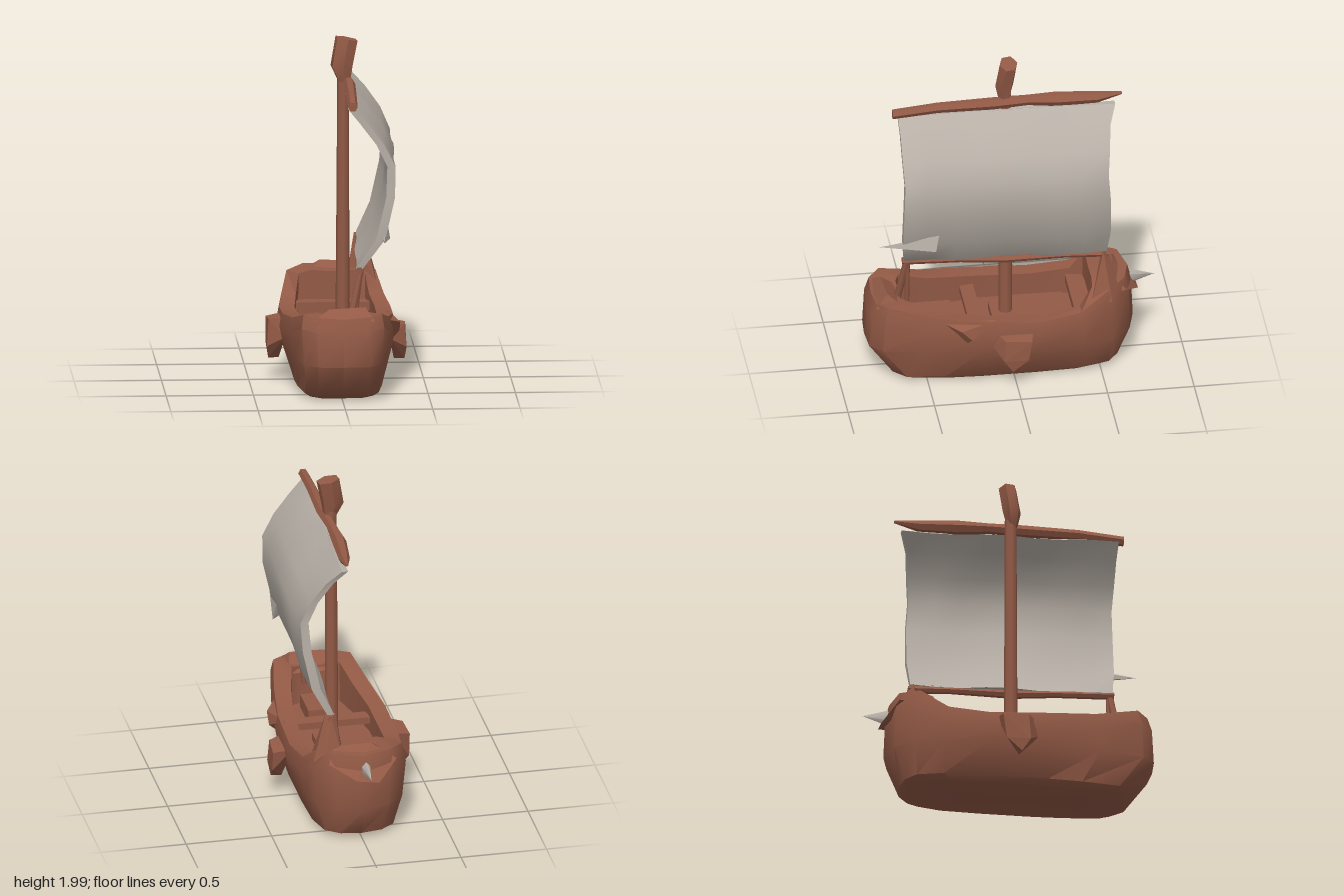
import * as THREE from 'three';
import { toCreasedNormals } from 'three/addons/utils/BufferGeometryUtils.js';
import { ConvexGeometry } from 'three/addons/geometries/ConvexGeometry.js';

const wood = new THREE.MeshStandardMaterial({ color: 0x935a46 });
wood.name = 'wood';
const canvas = new THREE.MeshStandardMaterial({ color: 0xb8b0a7 });
canvas.name = 'canvas';

const V = (x, y, z) => new THREE.Vector3(x, y, z);

// Skin a stack of closed rings and cap both ends
function loft(rings, crease = 0.7) {
  const n = rings[0].length;
  const pos = rings.flat().flatMap((p) => [p.x, p.y, p.z]);
  const index = [];
  for (let i = 0; i < rings.length - 1; i++) {
    for (let j = 0; j < n; j++) {
      const a = i * n + j, b = i * n + (j + 1) % n;
      index.push(a, b, b + n, a, b + n, a + n);
    }
  }
  [0, rings.length - 1].forEach((r, k) => {
    const c = rings[r].reduce((s, p) => s.add(p), V(0, 0, 0)).divideScalar(n);
    const id = pos.length / 3;
    pos.push(c.x, c.y, c.z);
    for (let j = 0; j < n; j++) {
      const a = r * n + j, b = r * n + (j + 1) % n;
      if (k) index.push(id, a, b); else index.push(id, b, a);
    }
  });
  const g = new THREE.BufferGeometry();
  g.setAttribute('position', new THREE.Float32BufferAttribute(pos, 3));
  g.setIndex(index);
  return toCreasedNormals(g, crease);
}

// Tapered bar between two points
function bar(a, b, ra, rb, sides = 6) {
  const dir = b.clone().sub(a);
  const g = new THREE.CylinderGeometry(rb, ra, dir.length(), sides);
  g.applyQuaternion(new THREE.Quaternion().setFromUnitVectors(V(0, 1, 0), dir.normalize()));
  const c = a.clone().add(b).multiplyScalar(0.5);
  return g.translate(c.x, c.y, c.z);
}

// Bar along z through stations [x, y, z, radius], from front to back
function spar(stations) {
  return loft(stations.map(([x, y, z, r]) => Array.from({ length: 6 }, (_, j) => {
    const t = -j * Math.PI / 3;
    return V(x + r * Math.cos(t), y + r * Math.sin(t), z);
  })), 0.9);
}

// Half plans run from bow to stern on the +x side
const outer = [[0, .84], [.15, .83], [.23, .76], [.28, .5], [.32, .2], [.325, -.15], [.3, -.4], [.26, -.57], [.16, -.68], [0, -.72]];
const keel = [[0, .7], [.14, .69], [.21, .62], [.24, .4], [.25, .2], [.25, -.15], [.24, -.4], [.2, -.55], [.12, -.61], [0, -.63]];
const inner = [[0, .64], [.1, .64], [.14, .62], [.18, .45], [.22, .2], [.23, -.15], [.21, -.38], [.19, -.455], [.12, -.46], [0, -.46]];
const sheer = [.49, .5, .51, .45, .42, .4, .43, .54, .56, .55];

function ring(plan, height, sx = 1, sz = 1) {
  const half = plan.map(([x, z], i) => V(x * sx, height(sheer[i]), z * sz));
  const mirrored = half.slice(1, -1).reverse().map((p) => V(-p.x, p.y, p.z));
  return [...half, ...mirrored];
}

export function createModel() {
  const boat = new THREE.Group();
  boat.name = 'sailingBoat';
  const add = (name, geometry, material = wood) => {
    const m = new THREE.Mesh(geometry, material);
    m.name = name;
    boat.add(m);
    return m;
  };

  // Open hull: bottom, sides, thick rim, inner wall and floor
  add('hull', loft([
    ring(keel, () => 0.005, 0.85, 0.9),
    ring(keel, () => 0.035),
    ring(outer, () => 0.22, 0.96, 0.995),
    ring(outer, (s) => s - 0.08, 1.03, 0.98),
    ring(outer, (s) => s, 0.98, 0.95),
    ring(inner, (s) => s - 0.005),
    ring(inner, () => 0.26, 1.02, 0.99),
  ]));

  // Benches and the raised floor around the mast
  const box = (name, w, h, d, x, y, z) => add(name, new THREE.BoxGeometry(w, h, d).translate(x, y, z));
  box('rearBench', 0.42, 0.05, 0.11, 0, 0.36, -0.41);
  box('middleBench', 0.46, 0.04, 0.08, 0, 0.34, 0.215);
  box('floorBoards', 0.38, 0.03, 0.5, 0, 0.27, -0.08);
  box('mastFoot', 0.2, 0.06, 0.22, 0.03, 0.3, 0);
  box('frontBox', 0.17, 0.08, 0.22, 0.02, 0.32, 0.44);

  // Raised lumps at bow and stern
  add('bowBlock', new ConvexGeometry([
    V(-.17, .48, .79), V(.18, .48, .79), V(-.1, .46, .62), V(.16, .46, .62), V(-.08, .54, .73), V(.13, .55, .72),
  ]));
  add('sternBlock', new ConvexGeometry([
    V(-.2, .5, -.65), V(.2, .5, -.65), V(-.08, .4, -.74), V(.05, .42, -.74), V(-.06, .59, -.6),
    V(.15, .58, -.58), V(-.18, .48, -.48), V(.18, .48, -.48),
  ]));
  add('sideLump', new ConvexGeometry([
    V(.28, .42, .42), V(.35, .39, .32), V(.35, .33, .26), V(.29, .42, .1), V(.27, .25, .3),
  ]));

  // Pointed shields on both sides
  [[1, 0], [-1, 0.04]].forEach(([s, dy]) => {
    const pts = [[.29, .34, .12], [.29, .34, -.1], [.39, .33, .07], [.4, .32, -.08], [.4, .2, .08],
      [.4, .2, -.06], [.39, .125, .03], [.33, .125, .02], [.3, .26, .14]];
    add(s > 0 ? 'leftShield' : 'rightShield',
      new ConvexGeometry(pts.map(([x, y, z]) => V(s * x, y + dy * (y > 0.3 ? 1 : 0.3), z))));
  });

  // Mast with a flared head
  add('mast', bar(V(0.035, 0.26, 0.025), V(0.04, 1.78, 0.025), 0.04, 0.034, 8));
  const head = [[.045, 1.74, .035, .035], [.03, 1.83, .03, .063], [.06, 1.985, .01, .062]];
  add('mastHead', loft(head.map(([x, y, z, r], i) => Array.from({ length: 6 }, (_, j) => {
    const t = -j * Math.PI / 3 + 0.4;
    const px = r * Math.cos(t);
    return V(x + px * (1.05 + i * 0.02), y - (i === 2 ? px * 0.2 : 0), z + r * Math.sin(t) * 0.85);
  })), 0.8));

  // Upper yard and lower boom
  add('yard', spar([[.06, 1.705, .68, .028], [.065, 1.73, .42, .03], [.07, 1.735, .1, .035],
    [.06, 1.735, -.1, .03], [.055, 1.725, -.27, .042], [.075, 1.73, -.5, .033], [.09, 1.755, -.64, .008]]));
  add('boom', spar([[.1, .745, .63, .022], [.115, .74, .3, .02], [.13, .73, .05, .025], [.15, .74, -.3, .02], [.16, .735, -.55, .022]]));

  // Billowing sail: each row is [centre x, y, front z, back z, half thickness]
  const rows = [[.13, .755, .62, -.54, .02], [.235, .93, .645, -.55, .026], [.29, 1.17, .645, -.545, .025],
    [.3, 1.35, .64, -.53, .024], [.24, 1.48, .645, -.545, .022], [.15, 1.6, .645, -.56, .022], [.07, 1.69, .65, -.6, .018]];
  const cols = 8;
  add('sail', loft(rows.map(([x, y, z0, z1, t], r) => {
    const side = (k) => Array.from({ length: cols + 1 }, (_, i) => {
      const u = i / cols;
      const twist = (u - 0.5) * (r === 0 ? 0.06 : 0.035);
      const ripple = 0.006 * Math.sin(u * 9 + r);
      return V(x + twist + ripple + k * t, y + 0.006 * Math.sin(u * 14), z0 + (z1 - z0) * u);
    });
    return [...side(1), ...side(-1).reverse()];
  })), canvas);

  // Torn cloth spike on the sail
  add('sailSpike', new ConvexGeometry([
    V(.235, .93, .78), V(.27, 1.0, .44), V(.285, .9, .46), V(.24, .9, .5), V(.235, .96, .48),
  ]), canvas);

  // Struts from the boom down to the hull
  add('frontStrut', bar(V(0.04, 0.42, 0.66), V(0.11, 0.75, 0.605), 0.022, 0.02));
  add('frontBrace', bar(V(0.07, 0.4, 0.6), V(0.11, 0.74, 0.6), 0.014, 0.014));
  add('rearStrut', new ConvexGeometry([
    V(.13, .76, -.52), V(.19, .76, -.52), V(.16, .75, -.55), V(.09, .52, -.5), V(.26, .46, -.44),
    V(.27, .47, -.56), V(.11, .52, -.6), V(.2, .55, -.6),
  ]));

  // Pale spike at the stern
  const spike = bar(V(0, 0, 0), V(0, 0.005, -0.2), 0.065, 0, 6);
  add('sternSpike', spike.scale(0.6, 1, 1).translate(-0.01, 0.465, -0.64), canvas);

  return boat;
}
